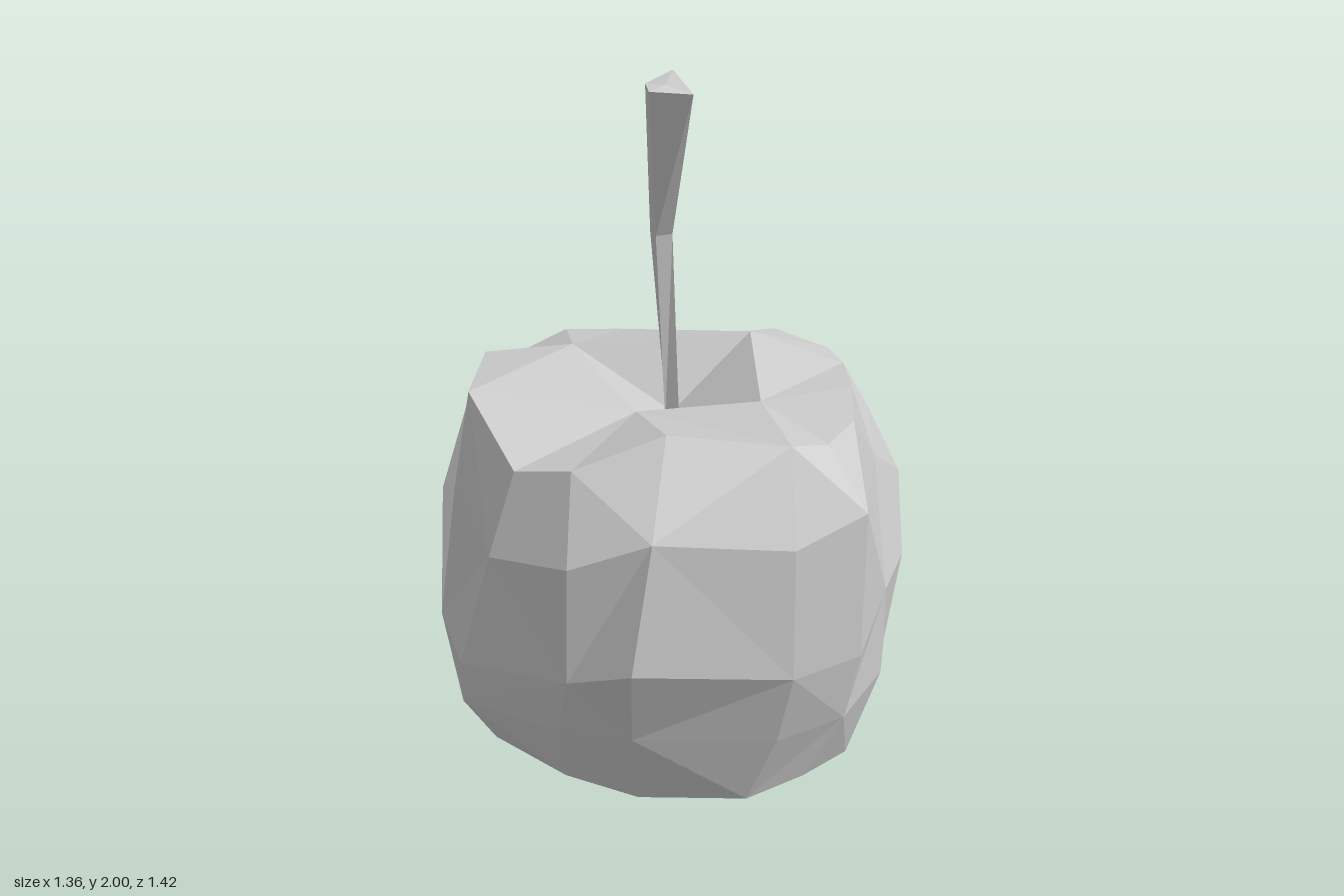
import * as THREE from 'three';

// Skin a stack of matching closed rings (listed bottom to top, counter-clockwise from above)
function loft(name, rings, alternate) {
  const verts = [];
  const tri = (a, b, c) => {
    const same = (p, q) => p.every((v, i) => Math.abs(v - q[i]) < 1e-6);
    if (!same(a, b) && !same(b, c) && !same(a, c)) verts.push(...a, ...b, ...c);
  };
  for (let r = 0; r < rings.length - 1; r++) {
    const n = rings[r].length;
    for (let j = 0; j < n; j++) {
      const k = (j + 1) % n;
      const a = rings[r][j], b = rings[r][k], c = rings[r + 1][k], d = rings[r + 1][j];
      if (alternate && (r + j) % 2) { tri(a, b, d); tri(b, c, d); }
      else { tri(a, b, c); tri(a, c, d); }
    }
  }
  const geo = new THREE.BufferGeometry();
  geo.setAttribute('position', new THREE.Float32BufferAttribute(verts, 3));
  geo.computeVertexNormals();
  const mesh = new THREE.Mesh(geo, new THREE.MeshStandardMaterial({ color: 0xcccccc, flatShading: true }));
  mesh.name = name;
  return mesh;
}

// Key outlines of the fruit, each starting at the front and going round by the left
const foot = [
  [-0.1, 0.06, 0.5], [0.2, 0.06, 0.51], [0.36, 0.1, 0.46], [0.5, 0.07, 0.3],
  [0.5, 0.04, 0.08], [0.5, 0.04, -0.1], [0.48, 0.1, -0.32], [0.33, 0.13, -0.5],
  [0.12, 0.15, -0.58], [-0.12, 0.15, -0.59], [-0.33, 0.15, -0.5], [-0.47, 0.14, -0.36],
  [-0.54, 0.13, -0.1], [-0.53, 0.13, 0.1], [-0.5, 0.18, 0.38], [-0.3, 0.12, 0.48],
];
const belly = [
  [-0.11, 0.57, 0.71], [0.31, 0.5, 0.61], [0.5, 0.5, 0.49], [0.59, 0.6, 0.3],
  [0.67, 0.6, 0.08], [0.68, 0.78, -0.12], [0.57, 0.6, -0.41], [0.49, 0.6, -0.49],
  [0.21, 0.6, -0.65], [-0.16, 0.68, -0.71], [-0.46, 0.6, -0.61], [-0.56, 0.6, -0.47],
  [-0.68, 0.75, -0.07], [-0.67, 0.45, 0.15], [-0.58, 0.45, 0.43], [-0.28, 0.5, 0.62],
];
const shoulder = [
  [-0.02, 1.14, 0.49], [0.3, 1.1, 0.47], [0.4, 1.08, 0.41], [0.48, 1.1, 0.29],
  [0.5, 1.12, 0.08], [0.5, 1.12, -0.12], [0.48, 1.1, -0.31], [0.33, 1.1, -0.51],
  [0.09, 1.04, -0.61], [-0.16, 1.09, -0.54], [-0.33, 1.1, -0.51], [-0.5, 1.06, -0.35],
  [-0.55, 1.13, -0.2], [-0.56, 1.13, 0.14], [-0.41, 1.03, 0.46], [-0.26, 1.06, 0.53],
];

function createBody() {
  const point = (p) => belly.map(() => p);
  const blend = (from, to, t) => from.map((p, i) => p.map((v, k) => v + (to[i][k] - v) * t));

  // Four-lobed underside with a shallow hollow
  const hollow = foot.map(([x, , z]) => [x * 0.3, 0.09, z * 0.3 - 0.05]);
  const lobes = foot.map(([x, , z]) => {
    const lift = Math.abs(Math.cos(2 * Math.atan2(x, z)));
    return [x * 0.62, 0.08 * Math.max(0, lift - 0.4), z * 0.62 - 0.05];
  });

  // Rings between the key outlines: fuller at the sides below, at the front above
  const lower = blend(foot, belly, 0.5).map(([x, y, z]) => [x * 1.08, y, z]);
  const upper = blend(belly, shoulder, 0.6).map(([x, y, z]) => [x * 1.01, y, z * (1 + 0.4 * Math.max(0, z) ** 2)]);

  // Square corners on the left side
  upper[2] = [0.5, 0.92, 0.49];
  upper[7] = [0.5, 0.92, -0.51];

  // Four-cornered hollow round the stem
  const corners = [[-0.1, 1.07, 0.14], [0.24, 1.11, 0.17], [0.23, 1.2, -0.17], [-0.29, 1.16, -0.18]];
  const brim = [0, 1, 1, 1, 1, 2, 2, 2, 2, 3, 3, 3, 3, 0, 0, 0].map((i) => corners[i]);

  return loft('appleBody', [
    point([0, 0.13, -0.05]), hollow, lobes, foot, lower, belly, upper, shoulder, brim, point([0, 1, -0.04]),
  ], true);
}

// Four-sided stem that bends forward and widens to a slanted tip
function createStem() {
  const base = [[-0.015, 0.98, -0.045], [-0.02, 0.98, -0.02], [0.02, 0.98, -0.015], [0.02, 0.98, -0.045]];
  const bend = [[-0.06, 1.55, 0.03], [-0.045, 1.55, 0.08], [0, 1.55, 0.06], [-0.005, 1.57, 0]];
  const tip = [[-0.07, 1.97, 0.2], [-0.06, 1.96, 0.27], [0.05, 1.95, 0.25], [0, 2, 0.17]];
  const cap = tip.map(() => [-0.02, 1.97, 0.22]);
  return loft('stem', [base, bend, tip, cap], false);
}

export function createModel() {
  const apple = new THREE.Group();
  apple.name = 'apple';
  apple.add(createBody(), createStem());
  return apple;
}
